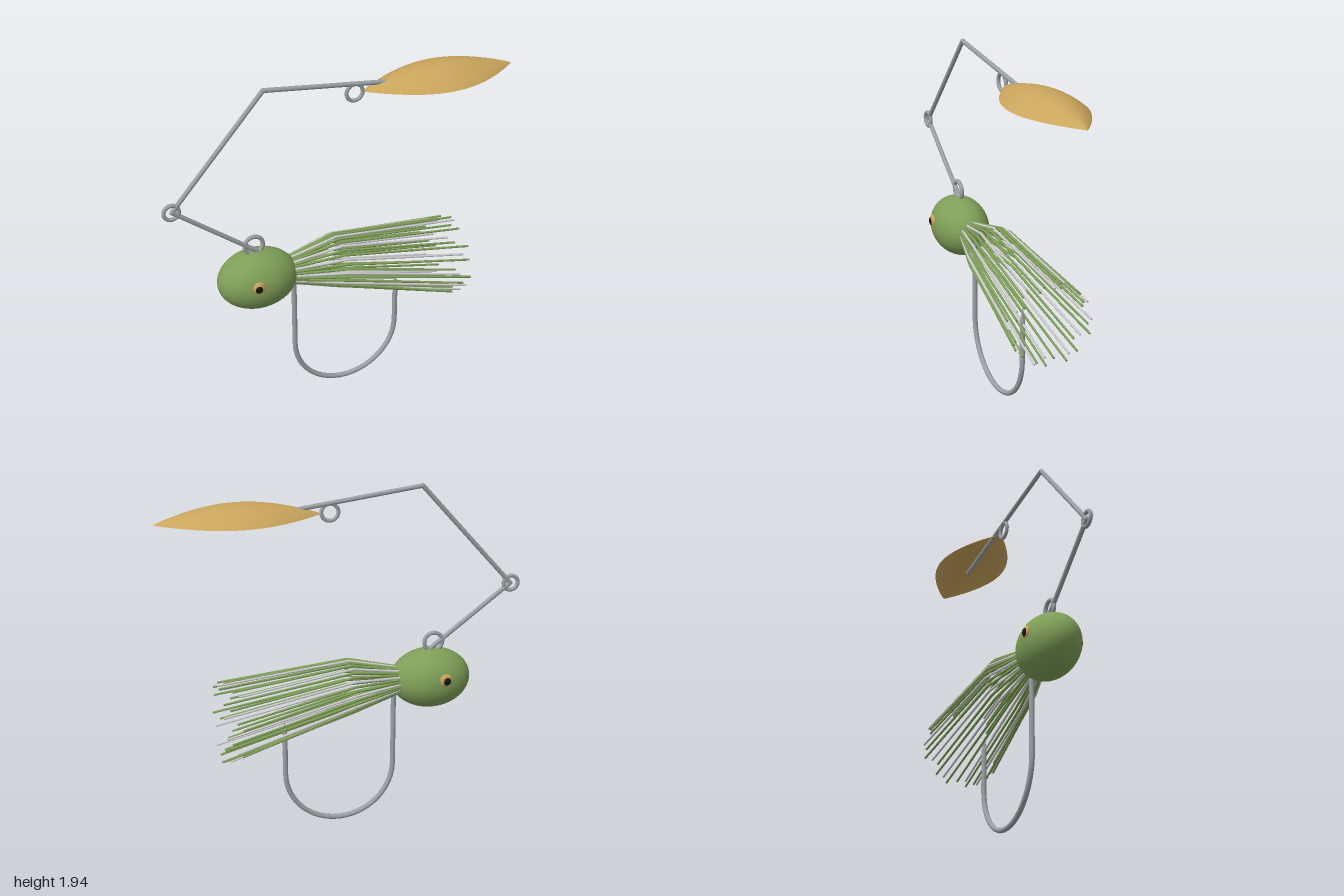
import * as THREE from 'three';

const V = (x, y, z = 0) => new THREE.Vector3(x, y, z);
const mat = (color, side = THREE.FrontSide) =>
  new THREE.MeshStandardMaterial({ color, side });

export function createModel() {
  const model = new THREE.Group();
  const steel = mat(0x9aa1a4), silver = mat(0xcccccc), green = mat(0x7f9f58);
  const gold = mat(0xc9a55c), black = mat(0x151515);
  const goldShell = mat(0xc9a55c, THREE.DoubleSide);

  const add = (name, geometry, material, pos = V(0, 0), parent = model) => {
    const mesh = new THREE.Mesh(geometry, material);
    mesh.name = name;
    mesh.position.copy(pos);
    parent.add(mesh);
    return mesh;
  };
  // Straight round bar between two points
  const rod = (name, a, b, r0, r1, material, parent = model, sides = 12) => {
    const mesh = add(name, new THREE.CylinderGeometry(r1, r0, a.distanceTo(b), sides),
      material, a.clone().add(b).multiplyScalar(0.5), parent);
    mesh.quaternion.setFromUnitVectors(V(0, 1), b.clone().sub(a).normalize());
    return mesh;
  };
  const ring = (name, x, y, r, tube) =>
    add(name, new THREE.TorusGeometry(r, tube, 12, 40), steel, V(x, y));

  // Head and collar
  const headCentre = V(-0.495, 0.83);
  add('head', new THREE.SphereGeometry(1, 48, 32), green, headCentre).scale.set(0.225, 0.17, 0.158);
  rod('collar', V(-0.36, 0.83), V(-0.275, 0.83), 0.075, 0.072, green, model, 32);

  // Eyes on both sides
  for (const s of [1, -1]) {
    const eye = new THREE.Group();
    eye.name = s > 0 ? 'frontEye' : 'backEye';
    model.add(eye);
    add('iris', new THREE.SphereGeometry(1, 24, 16), gold, V(-0.54, 0.863, s * 0.149), eye)
      .scale.set(0.036, 0.036, 0.016);
    add('pupil', new THREE.SphereGeometry(1, 24, 16), black, V(-0.544, 0.86, s * 0.157), eye)
      .scale.set(0.022, 0.024, 0.012);
  }

  // Wire frame: line loop, two arms and the blade arm
  const wire = new THREE.Group();
  wire.name = 'wireFrame';
  model.add(wire);
  const bends = [V(-0.48, 0.99), V(-0.945, 1.345), V(-0.43, 1.93), V(0.61, 1.803)];
  for (let i = 0; i < 3; i++) rod('wireArm', bends[i], bends[i + 1], 0.0125, 0.0125, steel, wire);
  for (let i = 1; i < 3; i++) add('wireBend', new THREE.SphereGeometry(0.0125, 12, 8), steel, bends[i], wire);
  ring('headRing', -0.51, 1.038, 0.052, 0.0115);
  ring('lineRing', -0.948, 1.345, 0.041, 0.011);
  ring('bladeRing', 0.075, 1.82, 0.046, 0.0105);

  // Hook: shank, round bend and pointed leg
  const path = new THREE.CurvePath();
  path.add(new THREE.LineCurve3(V(-0.285, 0.83), V(-0.285, 0.325)));
  const bend = [];
  for (let i = 0; i <= 24; i++) {
    const a = Math.PI * (1 + i / 24);
    bend.push(V(0.025 + 0.31 * Math.cos(a), 0.325 + 0.31 * Math.sin(a)));
  }
  for (let i = 0; i < 24; i++) path.add(new THREE.LineCurve3(bend[i], bend[i + 1]));
  path.add(new THREE.LineCurve3(V(0.335, 0.325), V(0.335, 0.56)));
  add('hook', new THREE.TubeGeometry(path, 160, 0.0145, 12), steel);
  rod('hookPoint', V(0.335, 0.56), V(0.335, 0.64), 0.0145, 0.001, steel);

  // Skirt: a ring of strands that flare, then droop
  const skirt = new THREE.Group();
  skirt.name = 'skirt';
  model.add(skirt);
  const count = 36, reach = [0.7, 0.6, 0.66, 0.63, 0.69];
  for (let i = 0; i < count; i++) {
    const a = (i / count) * Math.PI * 2, c = Math.cos(a), s = Math.sin(a);
    const material = i % 3 === 0 ? silver : green;
    const root = V(-0.3, 0.83 + 0.075 * c, 0.075 * s);
    const mid = V(-0.03, 0.82 + 0.15 * c, 0.15 * s);
    const tip = V(reach[(i * 2) % 5], 0.68 + 0.217 * c, 0.222 * s);
    rod('strandRoot', root, mid, 0.008, 0.0075, material, skirt, 8);
    rod('strandTip', mid, tip, 0.0075, 0.006, material, skirt, 8);
  }

  // Blade: domed leaf shell, pointed at the far end and hollow below
  const blade = new THREE.PlaneGeometry(1, 1, 48, 24);
  const p = blade.attributes.position;
  for (let i = 0; i < p.count; i++) {
    const t = p.getX(i) + 0.5, v = p.getY(i) * 2;
    const w = Math.pow(Math.max(0, Math.sin(Math.PI * t)), 0.9);
    p.setXYZ(i, 0.12 + 0.88 * t, 1.816 + 0.084 * w * (1 - v * v), -0.195 * w * v);
  }
  blade.computeVertexNormals();
  add('blade', blade, goldShell);

  return model;
}
